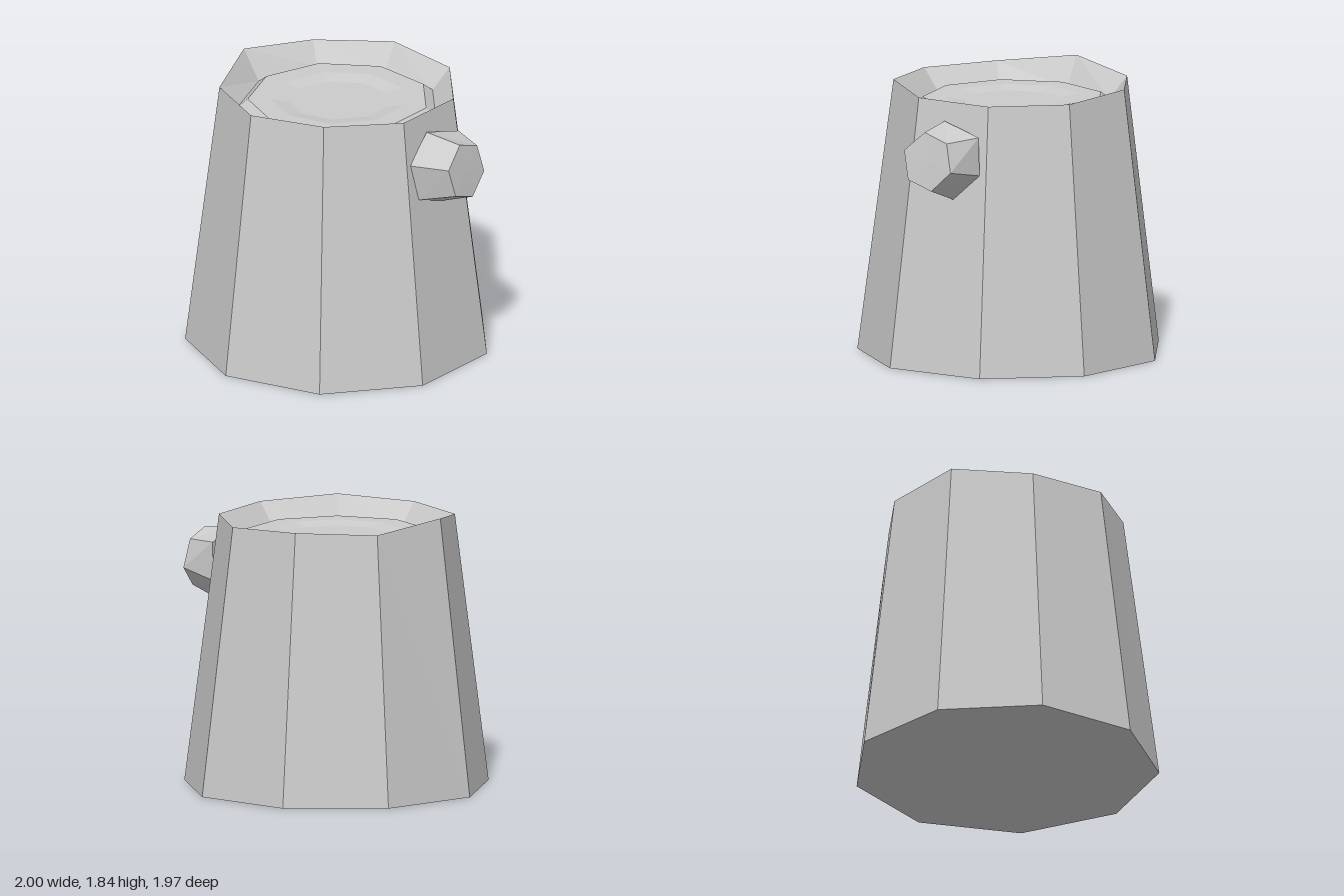
import * as THREE from 'three';

const material = new THREE.MeshStandardMaterial({ color: 0xcccccc, flatShading: true });

// Facets between successive rings of points, closed by a fan at each end.
// Rings run clockwise as seen from the last ring's side.
function loft(name, rings) {
  const positions = [];
  const tri = (...points) => points.forEach(p => positions.push(p.x, p.y, p.z));
  const centre = ring => ring.reduce((sum, p) => sum.add(p), new THREE.Vector3()).divideScalar(ring.length);
  const n = rings[0].length;
  const first = rings[0], last = rings[rings.length - 1];
  for (let k = 0; k < n; k++) {
    const j = (k + 1) % n;
    for (let i = 0; i < rings.length - 1; i++) {
      const a = rings[i], b = rings[i + 1];
      tri(a[k], b[k], b[j]);
      tri(a[k], b[j], a[j]);
    }
    tri(centre(first), first[k], first[j]);
    tri(centre(last), last[j], last[k]);
  }
  const geometry = new THREE.BufferGeometry();
  geometry.setAttribute('position', new THREE.Float32BufferAttribute(positions, 3));
  geometry.computeVertexNormals();
  const mesh = new THREE.Mesh(geometry, material);
  mesh.name = name;
  return mesh;
}

// Nine-sided ring with one corner at the back
function ring(radius, y, z, lifts = []) {
  return Array.from({ length: 9 }, (_, k) => {
    const a = k * Math.PI * 2 / 9;
    return new THREE.Vector3(radius * Math.sin(a), y + (lifts[k] || 0), z - radius * Math.cos(a));
  });
}

export function createModel() {
  const group = new THREE.Group();
  group.name = 'treeStump';

  // Tapered trunk, uneven bark rim, groove, raised wood disc and shallow growth ring
  const rimLifts = [0.005, 0.02, 0, 0, 0.005, 0.025, 0.005, 0, 0.06];
  group.add(loft('trunk', [
    ring(1.015, 0, 0.03),
    ring(0.787, 1.78, 0.02, rimLifts),
    ring(0.665, 1.64, 0.02),
    ring(0.6, 1.69, 0.015),
    ring(0.45, 1.69, 0.02),
    ring(0.33, 1.67, 0.02),
  ]));

  // Cut branch stub: hexagon lying on the wall, narrowing to the cut end
  const hexagon = points => points.map(p => new THREE.Vector3(...p)).reverse();
  group.add(loft('branchStub', [
    hexagon([
      [0.45, 1.655, 0.64], [0.31, 1.48, 0.77], [0.37, 1.23, 0.765],
      [0.57, 1.15, 0.62], [0.70, 1.325, 0.48], [0.70, 1.58, 0.485],
    ]),
    hexagon([
      [0.63, 1.625, 0.835], [0.53, 1.495, 0.945], [0.58, 1.305, 0.935],
      [0.72, 1.245, 0.82], [0.82, 1.38, 0.72], [0.77, 1.568, 0.73],
    ]),
  ]));

  return group;
}
